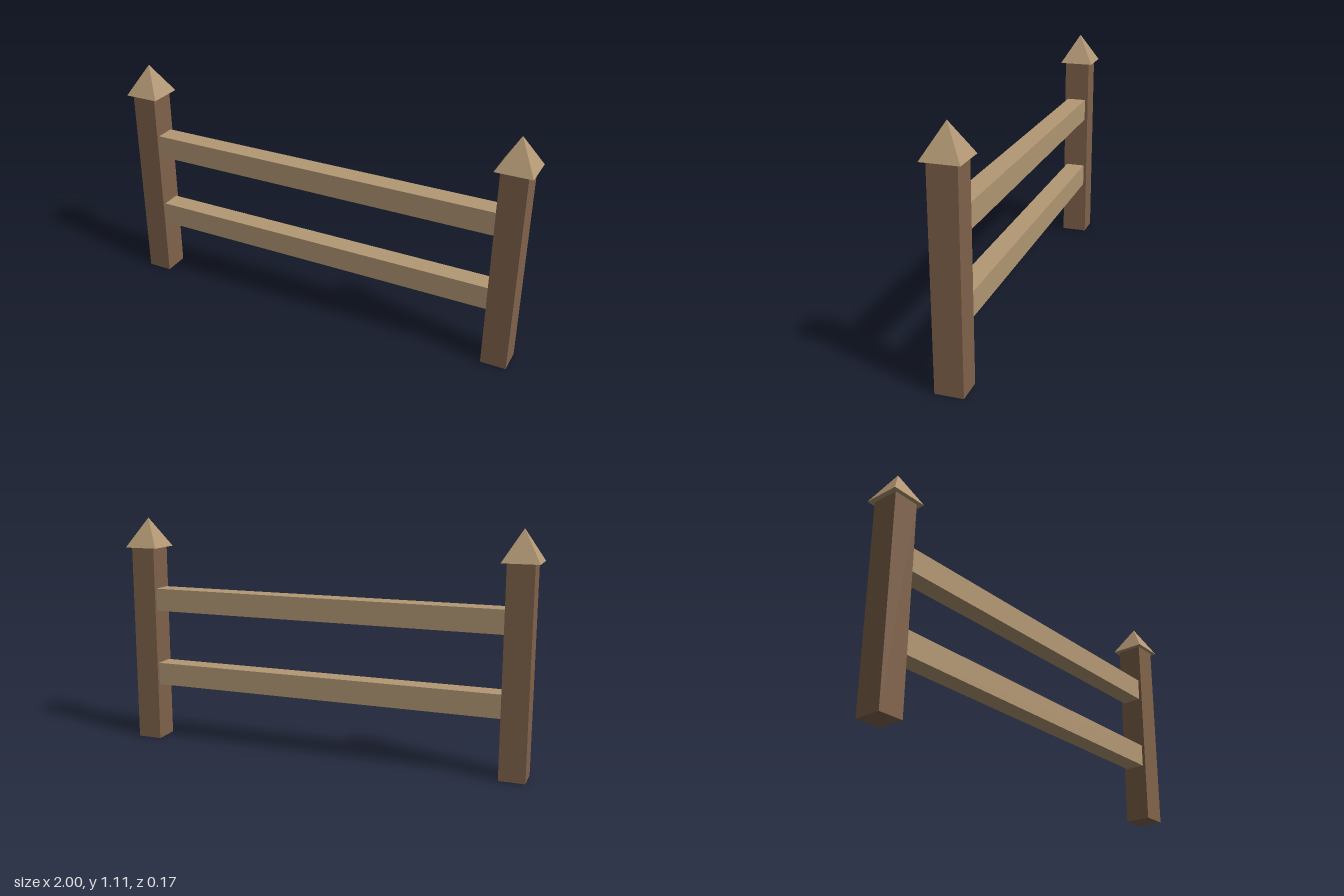
import * as THREE from 'three';

export function createModel() {
  const group = new THREE.Group();
  const darkWood = new THREE.MeshStandardMaterial({ color: 0x80634b, flatShading: true });
  darkWood.name = 'dark wood';
  const lightWood = new THREE.MeshStandardMaterial({ color: 0xb39874, flatShading: true });
  lightWood.name = 'light wood';

  const add = (name, geometry, material, x, y) => {
    const mesh = new THREE.Mesh(geometry, material);
    mesh.name = name;
    mesh.position.set(x, y, 0);
    group.add(mesh);
  };

  const postX = 0.917, postWidth = 0.12, postHeight = 0.966;
  const capWidth = 0.166, capHeight = 0.143;

  // Square posts with overhanging pyramid caps
  const postGeometry = new THREE.BoxGeometry(postWidth, postHeight, 0.126);
  const capGeometry = new THREE.ConeGeometry(capWidth / Math.SQRT2, capHeight, 4).rotateY(Math.PI / 4);
  for (const [side, sign] of [['left', 1], ['right', -1]]) {
    add(side + 'Post', postGeometry, darkWood, sign * postX, postHeight / 2);
    add(side + 'PostCap', capGeometry, lightWood, sign * postX, postHeight + capHeight / 2);
  }

  // Horizontal rails between the inner faces of the posts
  const railGeometry = new THREE.BoxGeometry(2 * postX - postWidth, 0.11, 0.096);
  add('lowerRail', railGeometry, lightWood, 0, 0.335);
  add('upperRail', railGeometry, lightWood, 0, 0.71);

  return group;
}
